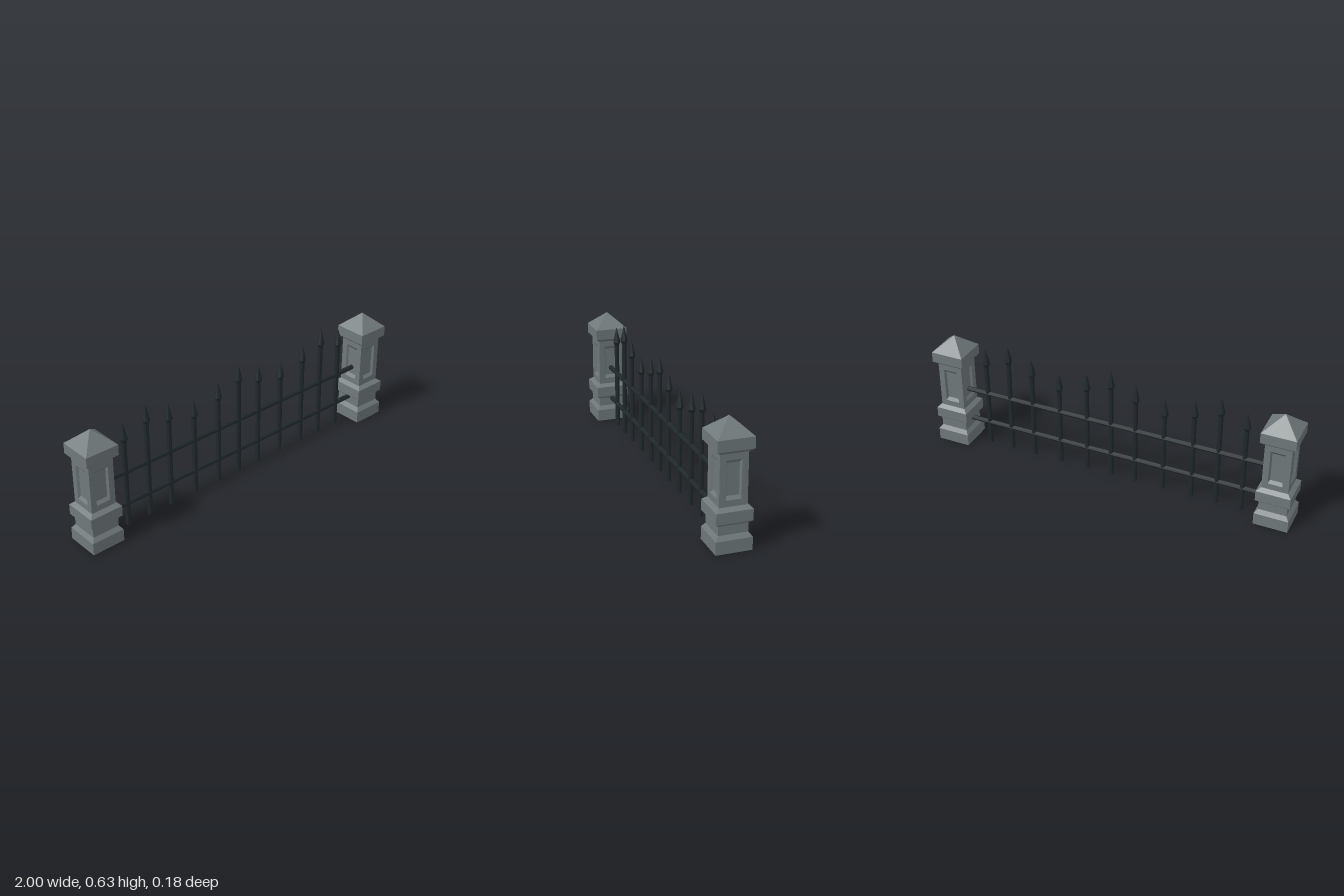
import * as THREE from 'three';

const stone = new THREE.MeshStandardMaterial({ color: 0x6f787a, flatShading: true });
const iron = new THREE.MeshStandardMaterial({ color: 0x20282b, flatShading: true });

// Joins four-cornered rings, counter-clockwise seen from the far end, and caps both ends
function loft(rings) {
  const pos = [];
  const tri = (a, b, c) => {
    if (new THREE.Triangle(a, b, c).getArea() > 1e-9) {
      for (const p of [a, b, c]) pos.push(p.x, p.y, p.z);
    }
  };
  const quad = (a, b, c, d) => { tri(a, b, c); tri(a, c, d); };
  for (let k = 0; k < rings.length - 1; k++) {
    for (let i = 0; i < 4; i++) {
      const j = (i + 1) % 4;
      quad(rings[k][i], rings[k][j], rings[k + 1][j], rings[k + 1][i]);
    }
  }
  quad(...[...rings[0]].reverse());
  quad(...rings[rings.length - 1]);
  const geo = new THREE.BufferGeometry();
  geo.setAttribute('position', new THREE.Float32BufferAttribute(pos, 3));
  geo.computeVertexNormals();
  return geo;
}

// Square level ring of half width r at height y
const square = ([r, y]) => [[1, 1], [1, -1], [-1, -1], [-1, 1]]
  .map(([x, z]) => new THREE.Vector3(x * r, y, z * r));

// Upright ring of half width w, from y0 to y1, at depth z
const upright = (w, y0, y1, z) => [[w, y0], [w, y1], [-w, y1], [-w, y0]]
  .map(([x, y]) => new THREE.Vector3(x, y, z));

function add(parent, name, geo, material) {
  const mesh = new THREE.Mesh(geo, material);
  mesh.name = name;
  parent.add(mesh);
  return mesh;
}

const SHAFT = 0.069, SHAFT_BOTTOM = 0.22, SHAFT_TOP = 0.474;

function createPillar(name, x) {
  const pillar = new THREE.Group();
  pillar.name = name;
  pillar.position.x = x;

  // Stepped plinth
  add(pillar, 'plinth', loft([
    [0.09, 0], [0.09, 0.065], [0.074, 0.087], [0.074, 0.133],
    [0.09, 0.147], [0.09, 0.203], [SHAFT, SHAFT_BOTTOM],
  ].map(square)), stone);

  // Four shaft faces, each with a sunken bevelled panel
  const face = loft([
    upright(SHAFT, SHAFT_BOTTOM, SHAFT_TOP, SHAFT),
    upright(0.038, 0.252, 0.443, SHAFT),
    upright(0.031, 0.269, 0.427, SHAFT - 0.012),
  ]);
  // Drop the starting cap, which would cover the recess
  const keep = Array.from(face.attributes.position.array);
  keep.splice(16 * 9, 2 * 9);
  face.setAttribute('position', new THREE.Float32BufferAttribute(keep, 3));
  face.deleteAttribute('normal');
  face.computeVertexNormals();
  for (let i = 0; i < 4; i++) {
    add(pillar, 'shaftPanel', face, stone).rotation.y = i * Math.PI / 2;
  }

  // Overhanging cap with a pyramid top
  add(pillar, 'cap', loft([
    [SHAFT, SHAFT_TOP], [0.09, 0.492], [0.09, 0.548], [0, 0.628],
  ].map(square)), stone);
  return pillar;
}

export function createModel() {
  const fence = new THREE.Group();
  fence.name = 'fence';

  fence.add(createPillar('rightPillar', -0.91), createPillar('leftPillar', 0.91));

  // Horizontal rails
  for (const [name, y] of [['lowerRail', 0.13], ['upperRail', 0.312]]) {
    const rail = add(fence, name, new THREE.CylinderGeometry(0.013, 0.013, 1.7, 8), iron);
    rail.rotation.z = Math.PI / 2;
    rail.position.y = y;
  }

  // Upright bars with spearheads, mirrored about the middle bar
  const bar = (x, top) => {
    const profile = [
      [0, 0], [0.013, 0], [0.013, top - 0.105], [0.021, top - 0.088], [0, top],
    ].map(([r, y]) => new THREE.Vector2(r, y));
    add(fence, 'spearBar', new THREE.LatheGeometry(profile, 8), iron).position.x = x;
  };
  bar(0, 0.635);
  for (const [x, top] of [[0.137, 0.587], [0.295, 0.545], [0.454, 0.587], [0.59, 0.635], [0.726, 0.587]]) {
    bar(x, top);
    bar(-x, top);
  }
  return fence;
}
